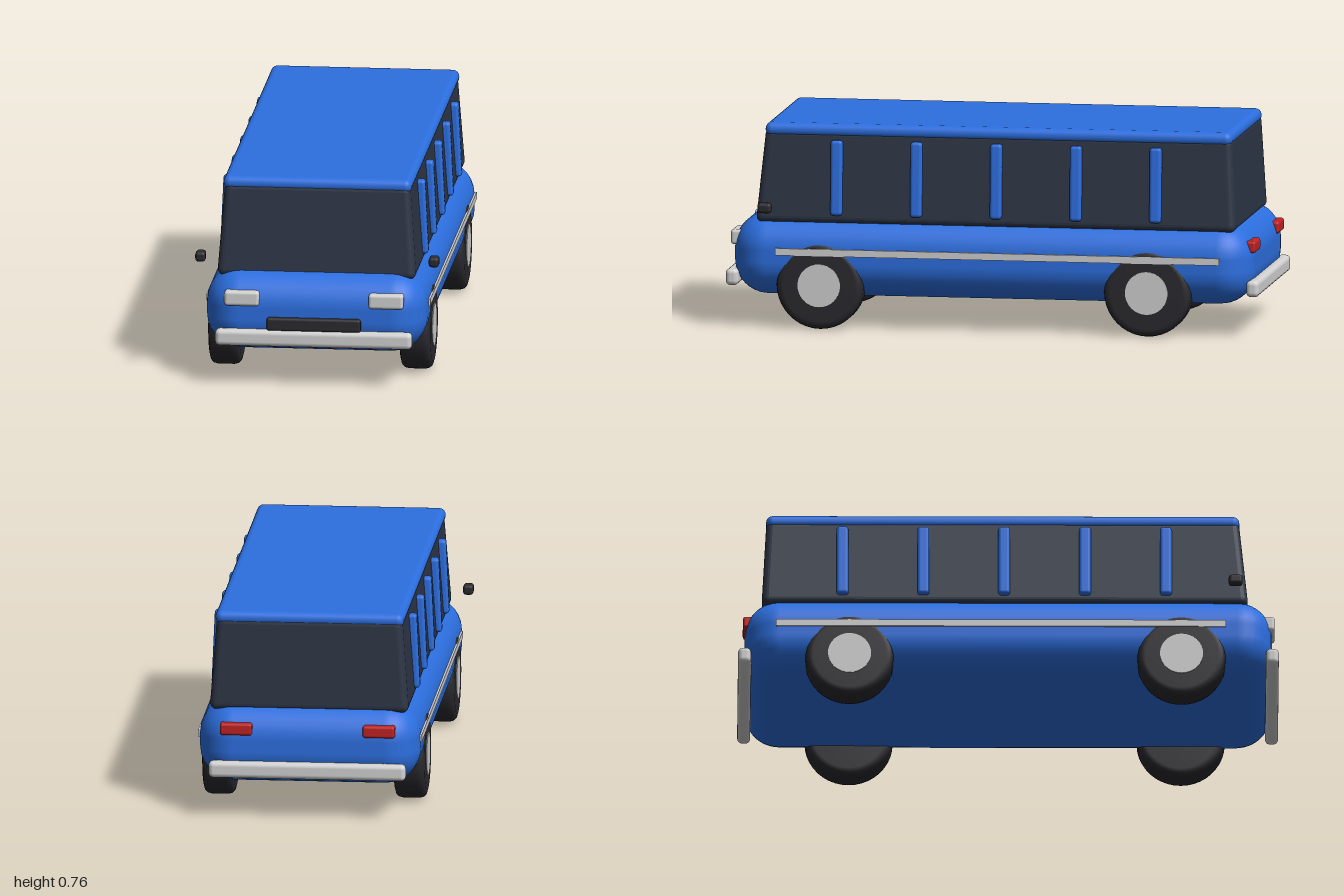
import * as THREE from 'three';
import { RoundedBoxGeometry } from 'three/addons/geometries/RoundedBoxGeometry.js';

const flat = (name, color) => {
  const m = new THREE.MeshStandardMaterial({ color });
  m.name = name;
  return m;
};

export function createModel() {
  const group = new THREE.Group();
  const blue = flat('blue paint', 0x2c6fe0);
  const glass = flat('dark glass', 0x2d3545);
  const rubber = flat('black rubber', 0x2a2a2f);
  const chrome = flat('light chrome', 0xd2d2d2);
  const red = flat('red lamp', 0xc02222);

  const add = (name, geometry, material, x = 0, y = 0, z = 0) => {
    const mesh = new THREE.Mesh(geometry, material);
    mesh.name = name;
    mesh.position.set(x, y, z);
    group.add(mesh);
    return mesh;
  };
  const rounded = (w, h, d, r, seg = 3) => new RoundedBoxGeometry(w, h, d, seg, r);

  // Lower body
  add('body', rounded(0.82, 0.305, 1.95, 0.13, 4), blue, 0, 0.2675, 0);

  // Glass cabin, narrowing towards the roof; the windscreen leans most
  const cabin = rounded(0.74, 0.35, 1.8, 0.025);
  const p = cabin.attributes.position;
  for (let i = 0; i < p.count; i++) {
    const t = (p.getY(i) + 0.175) / 0.35;
    const z = p.getZ(i);
    p.setX(i, p.getX(i) * (1 - 0.07 * t));
    p.setZ(i, z - (z > 0 ? 0.035 : -0.018) * t);
  }
  cabin.computeVertexNormals();
  add('cabinGlass', cabin, glass, 0, 0.565, -0.013);

  // Roof
  add('roof', rounded(0.7, 0.052, 1.75, 0.025), blue, 0, 0.735, -0.021);

  // Tyre profile spun around the axle
  const tyreProfile = [
    [0, -0.058], [0.135, -0.058], [0.15, -0.054], [0.159, -0.045], [0.163, -0.03],
    [0.163, 0.03], [0.159, 0.045], [0.15, 0.054], [0.135, 0.058], [0, 0.058],
  ].map(([r, y]) => new THREE.Vector2(r, y));
  const tyre = new THREE.LatheGeometry(tyreProfile, 40).rotateZ(Math.PI / 2);
  const hub = new THREE.CylinderGeometry(0.08, 0.08, 0.118, 32).rotateZ(Math.PI / 2);

  for (const side of [1, -1]) {
    const label = side > 0 ? 'left' : 'right';

    // Window pillars, leaning with the glass
    for (const z of [0.582, 0.283, -0.016, -0.315, -0.614]) {
      const pillar = add(label + 'Pillar', rounded(0.036, 0.28, 0.044, 0.012), blue, side * 0.363, 0.562, z);
      pillar.rotation.z = side * 0.045;
    }

    // Wheels
    for (const [axle, z] of [['Front', 0.64], ['Rear', -0.588]]) {
      add(label + axle + 'Tyre', tyre, rubber, side * 0.355, 0.163, z);
      add(label + axle + 'Hub', hub, chrome, side * 0.357, 0.165, z);
    }

    // Side trim, lamps and mirror
    add(label + 'Trim', new THREE.BoxGeometry(0.02, 0.026, 1.665), chrome, side * 0.406, 0.288, -0.028);
    add(label + 'Headlight', rounded(0.13, 0.056, 0.06, 0.012), chrome, side * 0.268, 0.328, 0.955);
    add(label + 'TailLight', rounded(0.12, 0.045, 0.05, 0.01), red, side * 0.265, 0.333, -0.957);
    add(label + 'Mirror', rounded(0.038, 0.038, 0.052, 0.012), rubber, side * 0.434, 0.454, 0.84);
  }

  // Grille and bumpers
  add('grille', rounded(0.35, 0.05, 0.05, 0.01), rubber, 0, 0.235, 0.967);
  for (const [name, z] of [['frontBumper', 0.976], ['rearBumper', -0.976]]) {
    add(name, rounded(0.732, 0.062, 0.048, 0.018), chrome, 0, 0.182, z);
  }

  return group;
}
